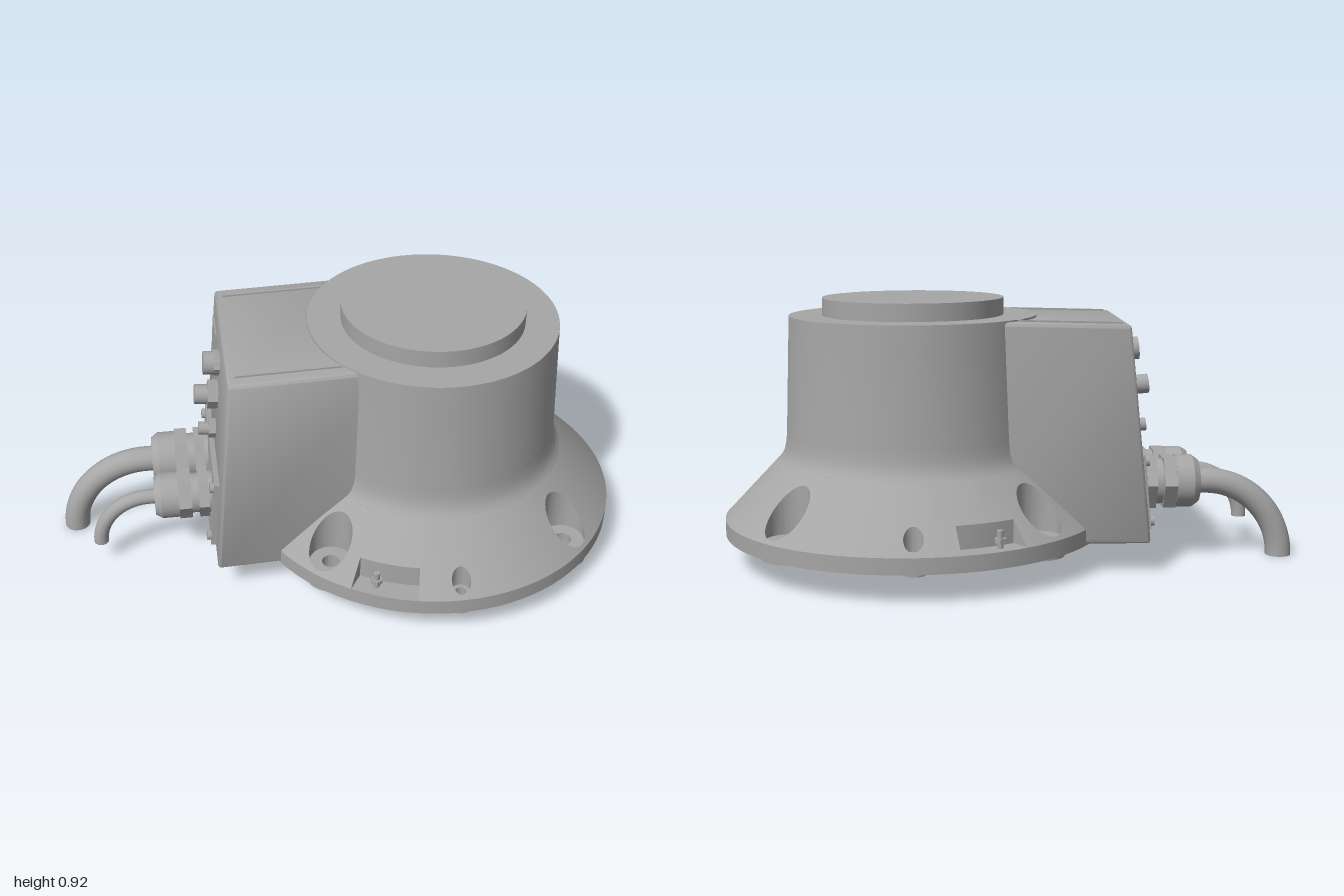
import * as THREE from 'three';
import { mergeGeometries, toCreasedNormals } from 'three/addons/utils/BufferGeometryUtils.js';
import { RoundedBoxGeometry } from 'three/addons/geometries/RoundedBoxGeometry.js';

const CX = 0.335, RIM = 0.665, RIM_Y = 0.155, CONE_R = 0.475, CONE_Y = 0.355, FLOOR = 0.107;
const rad = THREE.MathUtils.degToRad, lerp = THREE.MathUtils.lerp;
const coneY = r => RIM_Y + (RIM - r) * (CONE_Y - RIM_Y) / (RIM - CONE_R);
const polar = (th, r, y) => [CX + r * Math.cos(th), y, r * Math.sin(th)];

// Surface through rows; each row is a function of u in 0..1 returning a point
function sheet(nu, rows) {
  const g = new THREE.PlaneGeometry(1, 1, nu, rows.length - 1);
  const p = g.attributes.position, uv = g.attributes.uv;
  for (let i = 0; i < p.count; i++) {
    p.setXYZ(i, ...rows[Math.round(uv.getY(i) * (rows.length - 1))](uv.getX(i)));
  }
  return g;
}

// Profile of [radius, y] swept between two angles in degrees
function sweep(a, b, profile) {
  const n = Math.max(2, Math.ceil((b - a) / 3.75));
  return sheet(n, profile.map(([r, y]) => u => polar(rad(lerp(a, b, u)), r, y)));
}

// Cone sector with a vertical counterbored bolt hole
function pocketSector({ a, b, r0, R, hole }) {
  const mid = rad((a + b) / 2), half = rad((b - a) / 2);
  const [cx, , cz] = polar(mid, r0, 0);
  const edge = u => { // perimeter of the sector in (r, angle)
    const s = (u * 4) % 4, k = Math.floor(s), t = s - k;
    const c = [[CONE_R, -1], [RIM, -1], [RIM, 1], [CONE_R, 1], [CONE_R, -1]];
    return [lerp(c[k][0], c[k + 1][0], t), mid + half * lerp(c[k][1], c[k + 1][1], t)];
  };
  const around = (u, rr) => {
    const [r, th] = edge(u), q = polar(th, r, 0);
    const d = Math.atan2(q[2] - cz, q[0] - cx);
    return [cx + rr * Math.cos(d), cz + rr * Math.sin(d)];
  };
  const ring = (rr, y) => u => { const [x, z] = around(u, rr); return [x, y, z]; };
  const blend = t => u => {
    const [r, th] = edge(u), [x, z] = around(u, R);
    const rh = Math.hypot(x - CX, z);
    let dth = Math.atan2(z, x - CX) - mid;
    dth = Math.atan2(Math.sin(dth), Math.cos(dth));
    const rr = lerp(rh, r, t);
    return polar(lerp(mid + dth, th, t), rr, coneY(rr));
  };
  return sheet(64, [ring(hole, FLOOR), ring(hole, RIM_Y), ring(R, RIM_Y),
    blend(0), blend(0.33), blend(0.67), blend(1)]);
}

// Cone sector with a flat-floored notch open to the rim
function notchSector({ a, b }) {
  const r = 0.59;
  const side = deg => sheet(2, [
    u => polar(rad(deg), lerp(r, RIM, u), RIM_Y),
    u => polar(rad(deg), lerp(r, RIM, u), coneY(lerp(r, RIM, u)))]);
  return mergeGeometries([
    sweep(a, b, [[CONE_R, CONE_Y], [r, coneY(r)], [r, RIM_Y], [RIM, RIM_Y]]), side(a), side(b)]);
}

export function createModel() {
  const model = new THREE.Group();
  model.name = 'motorBase';
  const grey = new THREE.MeshStandardMaterial({ color: 0xa6a6a6, side: THREE.DoubleSide });
  grey.name = 'grey';
  const add = (name, geo, parent = model) => {
    const m = new THREE.Mesh(geo, grey);
    m.name = name;
    parent.add(m);
    return m;
  };
  // Cylinder lying along x
  const rod = (name, x0, x1, y, z, r, sides = 32, parent = model, rEnd = r) => {
    const g = new THREE.CylinderGeometry(rEnd, r, Math.abs(x1 - x0), sides).rotateZ(Math.PI / 2);
    const m = add(name, sides < 10 ? toCreasedNormals(g, 0.5) : g, parent);
    m.position.set((x0 + x1) / 2, y, z);
    return m;
  };
  const box = (name, w, h, d, x, y, z, parent = model) => {
    const m = add(name, new THREE.BoxGeometry(w, h, d), parent);
    m.position.set(x, y, z);
    return m;
  };

  // Flared body: sectors with pockets and notches, plain cone in between
  const features = [
    ...[45, 135, 225, 315].map(c => ({ a: c - 10, b: c + 10, r0: 0.58, R: 0.074, hole: 0.03 })),
    ...[90, 270].map(c => ({ a: c - 5, b: c + 5, r0: 0.62, R: 0.032, hole: 0.018 })),
    { a: 103, b: 123 }, { a: 237, b: 257 },
  ].sort((p, q) => p.a - q.a);
  const parts = [];
  let from = features[features.length - 1].b - 360;
  for (const f of features) {
    parts.push(sweep(from, f.a, [[CONE_R, CONE_Y], [RIM, RIM_Y]]));
    parts.push(f.R ? pocketSector(f) : notchSector(f));
    from = f.b;
  }
  parts.push(sweep(0, 360, [[0.3, 0.855], [0.43, 0.855], [0.434, 0.75], [0.446, 0.45],
    [0.449, 0.415], [0.456, 0.385], [0.465, 0.368], [CONE_R, CONE_Y]]));
  parts.push(sweep(0, 360, [[RIM, RIM_Y], [RIM, 0.1], [0.645, 0.1], [0.645, FLOOR]]));
  add('flaredBody', toCreasedNormals(mergeGeometries(parts), 0.5));

  // Raised round cap
  add('topCap', new THREE.CylinderGeometry(0.315, 0.315, 0.065, 96)).position.set(CX, 0.8825, 0);

  // Underside plate with bolt holes, and a foot around each hole
  const plate = new THREE.Shape().absarc(CX, 0, 0.646, 0, Math.PI * 2);
  const washer = (name, x, z, R, r, top, h) => {
    const s = new THREE.Shape().absarc(0, 0, R, 0, Math.PI * 2);
    s.holes.push(new THREE.Path().absarc(0, 0, r, 0, Math.PI * 2, true));
    const g = new THREE.ExtrudeGeometry(s, { depth: h, bevelEnabled: false, curveSegments: 32 });
    add(name, toCreasedNormals(g.rotateX(Math.PI / 2), 0.5)).position.set(x, top, z);
  };
  for (const f of features.filter(f => f.R)) {
    const [x, , z] = polar(rad((f.a + f.b) / 2), f.r0, 0);
    plate.holes.push(new THREE.Path().absarc(x, z, f.hole, 0, Math.PI * 2, true));
    const big = f.hole > 0.02;
    washer('foot', x, z, big ? 0.085 : 0.042, big ? 0.06 : 0.03, FLOOR, 0.015);
    washer('boltSleeve', x, z, big ? 0.04 : 0.024, f.hole, FLOOR, 0.012);
  }
  add('bottomPlate', new THREE.ShapeGeometry(plate, 48).rotateX(Math.PI / 2)).position.y = FLOOR;

  // Grounding screw in each notch
  for (const s of [1, -1]) {
    const shaft = add('notchScrew', new THREE.CylinderGeometry(0.011, 0.011, 0.06, 16));
    shaft.position.set(0.06, 0.183, s * 0.555);
    const nut = add('notchNut', toCreasedNormals(new THREE.CylinderGeometry(0.02, 0.02, 0.015, 6), 0.5));
    nut.position.set(0.06, 0.18, s * 0.555);
  }

  // Tapered connection housing
  const hg = new RoundedBoxGeometry(1, 1, 1, 3, 0.02);
  const hp = hg.attributes.position;
  for (let i = 0; i < hp.count; i++) {
    const u = hp.getX(i) + 0.5, h = hp.getY(i) + 0.5;
    hp.setXYZ(i, lerp(-0.46 + 0.07 * h, 0.12, u), lerp(0.105, lerp(0.84, 0.853, u), h),
      2 * hp.getZ(i) * (lerp(0.345, 0.305, h) - 0.025 * u * (1 - h)));
  }
  add('connectionHousing', toCreasedNormals(hg, 0.7));
  for (const s of [1, -1]) {
    box('topRib', 0.35, 0.006, 0.01, -0.19, 0.848, s * 0.255).rotation.z = 0.025;
  }

  // Fittings on the sloping rear panel
  const panel = new THREE.Group();
  panel.name = 'rearPanel';
  panel.position.set(-0.46, 0.105, 0);
  panel.rotation.z = -0.095;
  model.add(panel);
  box('glandPlate', 0.02, 0.26, 0.49, -0.008, 0.155, -0.005, panel);
  for (const y of [0.05, 0.26]) for (const z of [-0.225, 0.215]) {
    rod('plateScrew', -0.015, -0.032, y, z, 0.018, 16, panel);
  }
  for (const y of [0.35, 0.495, 0.625]) box('labelPlate', 0.006, 0.06, 0.12, -0.002, y, -0.2, panel);
  rod('upperSocket', 0, -0.055, 0.625, -0.01, 0.04, 32, panel);
  rod('upperSocketRing', 0, -0.02, 0.625, -0.01, 0.045, 6, panel);
  rod('middleSocketNut', 0, -0.035, 0.495, -0.01, 0.05, 6, panel);
  rod('middleSocket', 0, -0.08, 0.495, -0.01, 0.034, 32, panel);
  rod('lowerSocketNut', 0, -0.025, 0.35, -0.01, 0.034, 6, panel);
  rod('lowerSocket', 0, -0.06, 0.35, -0.01, 0.023, 32, panel);

  // Cable glands with drooping cables
  const cables = [
    { z: -0.105, k: 1, r: 0.045, end: [-0.955, 0] },
    { z: 0.115, k: 0.88, r: 0.026, end: [-0.86, 0.09] },
  ];
  for (const { z, k, r, end: [ex, ey] } of cables) {
    const y = 0.272;
    rod('glandBase', -0.44, -0.505, y, z, 0.085 * k);
    rod('glandLockNut', -0.47, -0.505, y, z, 0.1 * k, 6);
    rod('glandNeck', -0.505, -0.535, y, z, 0.08 * k);
    rod('glandHex', -0.53, -0.575, y, z, 0.1 * k, 6);
    rod('glandCap', -0.575, -0.635, y, z, 0.092 * k);
    rod('glandTip', -0.635, -0.658, y, z, 0.092 * k, 32, model, 0.075 * k);
    const bend = Math.min(y - ey, -0.66 - ex), c = 0.552 * bend;
    const path = new THREE.CurvePath();
    const V = (a, b) => new THREE.Vector3(a, b, z);
    path.add(new THREE.LineCurve3(V(-0.6, y), V(ex + bend, y)));
    path.add(new THREE.CubicBezierCurve3(V(ex + bend, y), V(ex + bend - c, y), V(ex, ey + c), V(ex, ey)));
    add('cable', new THREE.TubeGeometry(path, 40, r, 20));
    add('cableEnd', new THREE.CircleGeometry(r, 20).rotateX(Math.PI / 2)).position.set(ex, ey, z);
  }
  return model;
}
